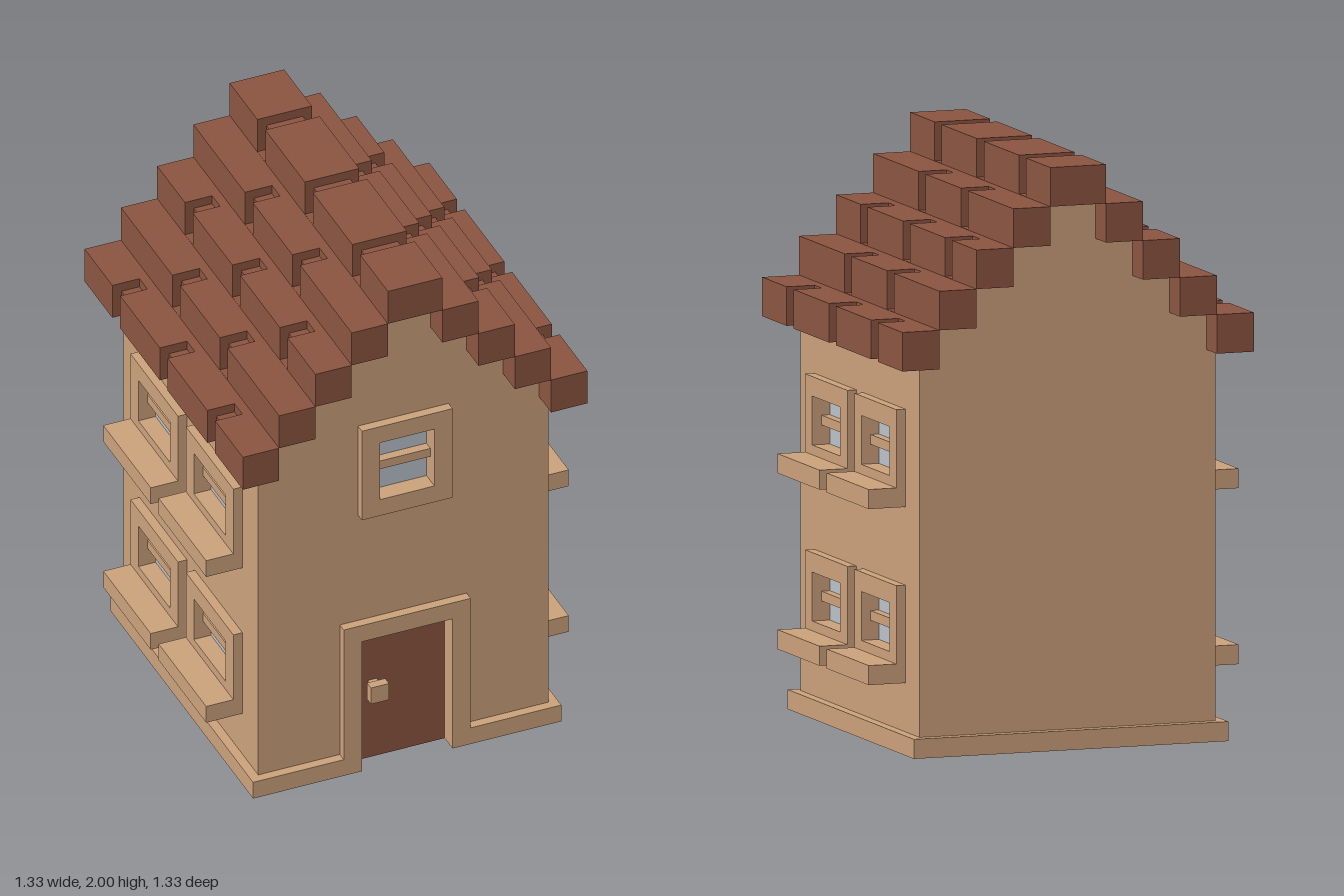
import * as THREE from 'three';

// All sizes below are in units of 1/30.
const U = 1 / 30;

export function createModel() {
  const model = new THREE.Group();
  model.name = 'house';
  const mat = (name, color) => {
    const m = new THREE.MeshStandardMaterial({ color });
    m.name = name;
    return m;
  };
  const tan = mat('sandstone', 0xcaa07a);
  const brown = mat('brickBrown', 0x8a5440);
  const glass = mat('paleGlass', 0xb8c1c8);

  const add = (parent, name, geometry, material) => {
    const mesh = new THREE.Mesh(geometry, material);
    mesh.name = name;
    parent.add(mesh);
    return mesh;
  };
  const group = (name, parent = model) => {
    const g = new THREE.Group();
    g.name = name;
    parent.add(g);
    return g;
  };
  // Box from its minimum and maximum corners
  const box = (parent, name, material, x0, x1, y0, y1, z0, z1) =>
    add(parent, name, new THREE.BoxGeometry((x1 - x0) * U, (y1 - y0) * U, (z1 - z0) * U)
      .translate((x0 + x1) / 2 * U, (y0 + y1) / 2 * U, (z0 + z1) / 2 * U), material);

  const points = (list) => list.map(([x, y]) => new THREE.Vector2(x * U, y * U));
  const rect = (x0, x1, y0, y1) => [[x0, y0], [x1, y0], [x1, y1], [x0, y1]];
  // Flat outline with holes, extruded from depth d0 to d1
  const slab = (outline, holes, d0, d1) => {
    const shape = new THREE.Shape(points(outline));
    holes.forEach((h) => shape.holes.push(new THREE.Path(points(h))));
    return new THREE.ExtrudeGeometry(shape, { depth: (d1 - d0) * U, bevelEnabled: false })
      .translate(0, 0, d0 * U);
  };

  // Stepped gable outline, with half width w below the eaves
  const mirrored = (half) => [...half, ...half.map(([x, y]) => [-x, y]).reverse()];
  const gable = (w, bottom) => {
    const half = bottom.concat([[w, 40]]);
    for (let k = 0; k < 4; k++) {
      if (w !== 15 || k > 0) half.push([15 - 4 * k, 40 + 4 * k]);
      half.push([15 - 4 * k, 44 + 4 * k]);
    }
    return mirrored(half);
  };

  // Body core and front wall, open for the door and the upper window
  add(model, 'bodyCore', slab(gable(15, [[15, 2]]), [], -17, 15), tan);
  add(model, 'frontWall',
    slab(gable(16, [[5, 16], [5, 2], [16, 2]]), [rect(-3, 3, 33, 40)], 15, 17), tan);

  // Plinth, notched at the doorway
  const plinth = mirrored([[5, -15], [5, -18], [17, -18], [17, 18]]);
  add(model, 'plinth', slab(plinth, [], 0, 2).rotateX(-Math.PI / 2), tan);

  // Door, its surround and knob
  const door = group('door');
  box(door, 'doorPanel', brown, -5, 5, 0, 16, 15, 16);
  add(door, 'doorFrame', slab(
    mirrored([[5, 16], [5, 2], [7, 2], [7, 18]]), [], 17, 18), tan);
  box(door, 'knobStem', tan, -3.5, -2.5, 8.5, 9.5, 16, 17);
  box(door, 'knob', tan, -4, -2, 8, 10, 17, 18);

  // Front window
  const front = group('frontWindow');
  add(front, 'windowFrame', slab(rect(-5, 5, 31, 42), [rect(-3, 3, 33, 40)], 17, 18), tan);
  box(front, 'windowPane', glass, -3, 3, 33, 40, 15, 16);
  box(front, 'windowBar', tan, -3, 3, 36, 37, 16, 17);

  // Side walls, built facing +z and turned to each side
  for (const side of [1, -1]) {
    const wall = group(side > 0 ? 'leftSide' : 'rightSide');
    wall.rotation.y = side * Math.PI / 2;
    const holes = [];
    const [a, b] = side > 0 ? [-15, 17] : [-17, 15];
    for (const y of [7, 25]) {
      for (const x of [-7, 7]) {
        const hole = rect(x - 4, x + 4, y + 3, y + 8);
        holes.push(hole);
        const win = group('sideWindow', wall);
        add(win, 'windowFrame', slab(rect(x - 6, x + 6, y + 2, y + 10), [hole], 16, 17), tan);
        box(win, 'windowSill', tan, x - 6, x + 6, y, y + 2, 16, 20);
        box(win, 'windowPane', glass, x - 4, x + 4, y + 3, y + 8, 14.9, 15.1);
        box(win, 'windowBar', tan, x - 4, x + 4, y + 5, y + 6, 15, 16);
      }
    }
    add(wall, 'sideWall', slab(rect(a, b, 2, 40), holes, 15, 16), tan);
  }

  // Roof bricks, staggered from row to row with narrow recessed joints
  const roof = group('roof');
  for (let k = 0; k < 5; k++) {
    const y = 40 + 4 * k;
    const joints = k % 2 ? [-6, 6] : [-12, 0, 12];
    const edges = [-20, ...joints.flatMap((z) => [z - 1, z + 1]), 20];
    for (let i = 0; i < edges.length - 1; i++) {
      const joint = i % 2;
      const [z0, z1] = [edges[i], edges[i + 1]];
      const name = joint ? 'roofJoint' : 'roofBrick';
      if (k === 4) {
        const w = joint ? 2 : 3;
        box(roof, name, brown, -w, w, y, joint ? y + 3 : y + 4, z0, z1);
        continue;
      }
      for (const side of [1, -1]) {
        const span = (p, q) => (side > 0 ? [p, q] : [-q, -p]);
        const x = 15 - 4 * k;
        if (joint) {
          box(roof, 'roofJointBack', brown, ...span(x, x + 1), y, y + 4, z0, z1);
          box(roof, name, brown, ...span(x + 1, x + 3), y, y + 3, z0, z1);
        } else {
          box(roof, name, brown, ...span(x, x + 4), y, y + 4, z0, z1);
        }
      }
    }
    // Hidden ledge seen through the joints of the row above
    if (k < 4) {
      for (const x of [14.5 - 4 * k, 4 * k - 14.5]) {
        box(roof, 'roofLedge', brown, x - 0.5, x + 0.5, y + 3, y + 4.03, -16, 16);
      }
    }
  }
  return model;
}
